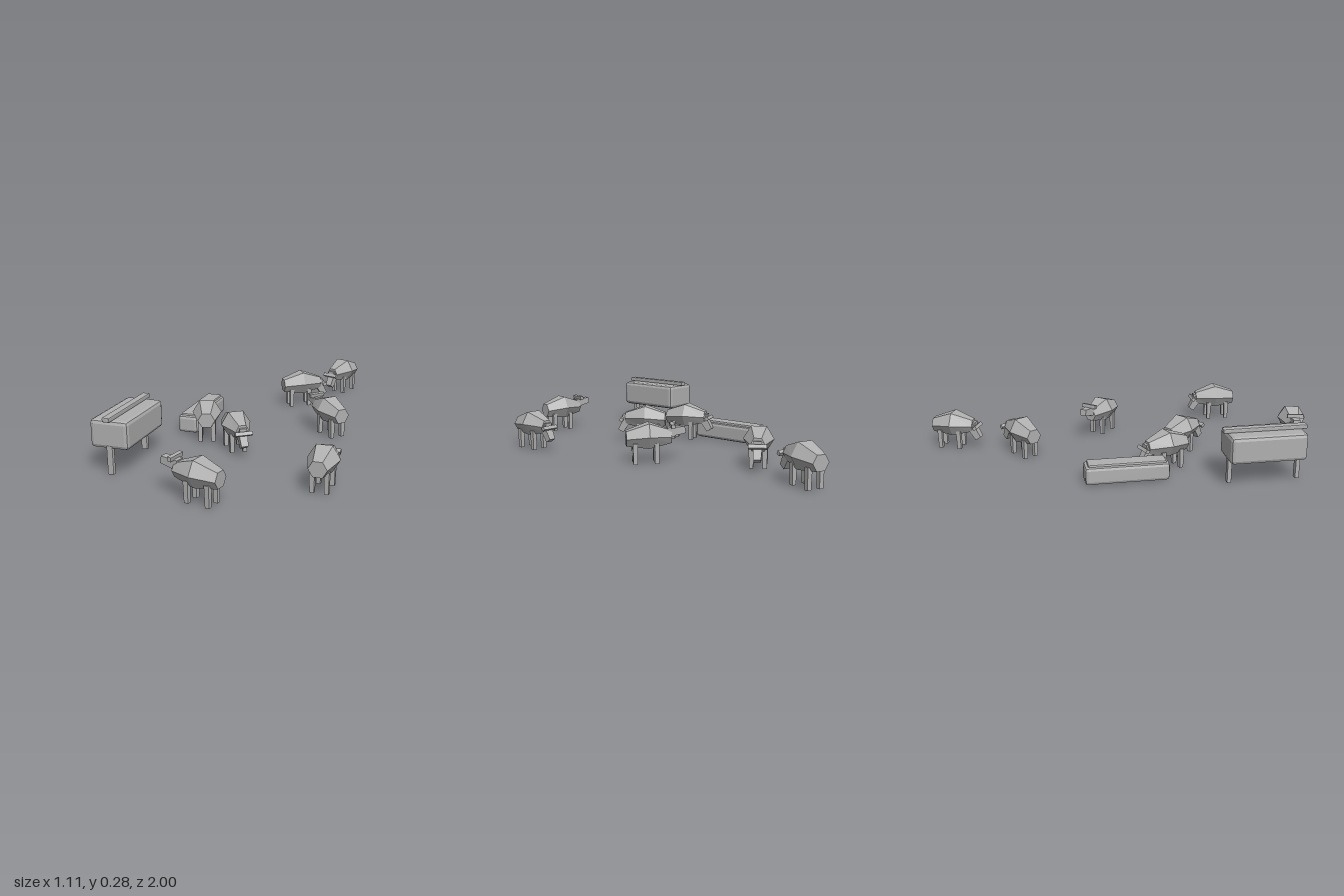
import * as THREE from 'three';
import { RoundedBoxGeometry } from 'three/addons/geometries/RoundedBoxGeometry.js';

const grey = new THREE.MeshStandardMaterial({ color: 0xb0b0b0, flatShading: true });
grey.name = 'plain grey';

function add(parent, name, geometry, x = 0, y = 0, z = 0) {
  const mesh = new THREE.Mesh(geometry, grey);
  mesh.name = name;
  mesh.position.set(x, y, z);
  parent.add(mesh);
  return mesh;
}

// Prism along z: every ring of vertices is scaled and lifted by rule(z).
function shapeAlongZ(geometry, rule) {
  const p = geometry.attributes.position;
  for (let i = 0; i < p.count; i++) {
    const [sx, sy, lift] = rule(p.getZ(i));
    p.setXY(i, p.getX(i) * sx, p.getY(i) * sy + lift);
  }
  geometry.computeVertexNormals();
  return geometry;
}

// Six-sided barrel body: narrow rump, wide belly, narrower chest
const bodyGeometry = shapeAlongZ(
  new THREE.CylinderGeometry(1, 1, 0.22, 6, 2, false, Math.PI / 6).rotateX(Math.PI / 2),
  (z) => z < -0.05 ? [0.043, 0.041, 0.122] : z > 0.05 ? [0.034, 0.036, 0.127] : [0.074, 0.07, 0.135]
);

// Head tapers towards the muzzle
const headGeometry = shapeAlongZ(
  new THREE.BoxGeometry(0.046, 0.044, 0.085),
  (z) => z > 0 ? [0.75, 0.75, -0.003] : [1, 1, 0]
);
const neckGeometry = new THREE.BoxGeometry(0.036, 0.036, 0.04);
const earGeometry = new THREE.BoxGeometry(0.085, 0.02, 0.018);
const legGeometry = new THREE.CylinderGeometry(0.017, 0.014, 0.1, 4, 1, false, Math.PI / 4);

function makeCow(grazing) {
  const cow = new THREE.Group();
  cow.name = grazing ? 'grazingCow' : 'alertCow';
  add(cow, 'body', bodyGeometry);
  for (const x of [-0.032, 0.032])
    for (const z of [-0.068, 0.036])
      add(cow, z > 0 ? 'frontLeg' : 'hindLeg', legGeometry, x, 0.05, z);
  add(cow, 'neck', neckGeometry, 0, grazing ? 0.128 : 0.145, 0.105);

  // Head and ears turn together, down to graze or slightly up
  const head = new THREE.Group();
  head.name = 'head';
  head.position.set(0, grazing ? 0.128 : 0.15, 0.095);
  head.rotation.x = grazing ? 1 : -0.15;
  add(head, 'skull', headGeometry, 0, 0, 0.04);
  add(head, 'ears', earGeometry, 0, 0.026, 0.024);
  cow.add(head);
  return cow;
}

export function createModel() {
  const model = new THREE.Group();
  model.name = 'cattlePasture';

  // x, z, facing x, facing z, grazing
  const herd = [
    [0.247, -0.888, -0.36, 0.93, true],
    [0.079, -0.538, 0.85, -0.53, true],
    [0.347, -0.082, -0.75, -0.66, false],
    [-0.236, 0.161, -0.33, -0.94, true],
    [-0.035, 0.289, 0.59, 0.81, true],
    [0.482, 0.612, 0.03, -1, true],
    [0.022, 0.917, -0.98, -0.21, false],
  ];
  for (const [x, z, dx, dz, grazing] of herd) {
    const cow = makeCow(grazing);
    cow.position.set(x, 0, z);
    cow.rotation.y = Math.atan2(dx, dz);
    model.add(cow);
  }

  // Hay rack on two posts, with a rail along the top
  const rack = new THREE.Group();
  rack.name = 'hayRack';
  rack.position.set(-0.465, 0, 0.585);
  add(rack, 'rackBox', new RoundedBoxGeometry(0.188, 0.134, 0.374, 1, 0.018), 0, 0.19, 0);
  add(rack, 'topRail', new RoundedBoxGeometry(0.037, 0.022, 0.414, 1, 0.005), 0, 0.266, 0);
  for (const z of [-0.167, 0.175])
    add(rack, 'post', new RoundedBoxGeometry(0.03, 0.14, 0.022, 1, 0.004), 0, 0.07, z);
  model.add(rack);

  // Feeding trough on the ground, with a low raised filling
  const trough = new THREE.Group();
  trough.name = 'trough';
  trough.position.set(-0.353, 0, -0.06);
  add(trough, 'troughBox', new RoundedBoxGeometry(0.108, 0.09, 0.412, 1, 0.016), 0, 0.048, 0);
  add(trough, 'filling', new RoundedBoxGeometry(0.08, 0.024, 0.38, 1, 0.006), 0, 0.091, 0);
  model.add(trough);

  return model;
}
